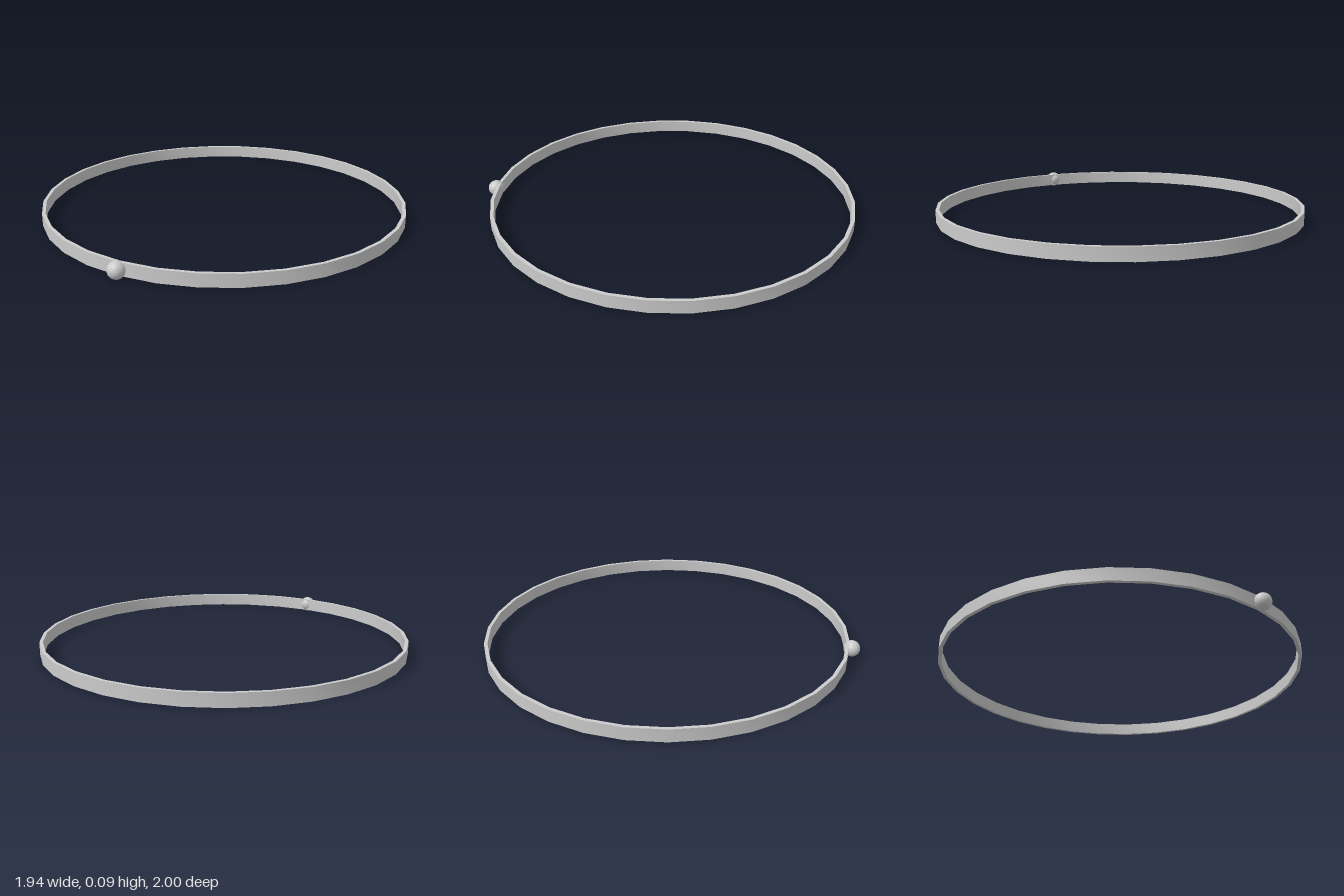
import * as THREE from 'three';
import { toCreasedNormals } from 'three/addons/utils/BufferGeometryUtils.js';

export function createModel() {
  const model = new THREE.Group();
  model.name = 'beadedHoop';
  const material = new THREE.MeshStandardMaterial({ color: 0xcccccc });

  // Flat upright band: a closed rectangular section turned around y
  const outer = 0.972, inner = 0.954, bottom = 0.01, top = 0.077;
  const section = [
    [outer, bottom], [outer, top], [inner, top], [inner, bottom], [outer, bottom],
  ].map(([r, y]) => new THREE.Vector2(r, y));
  const band = new THREE.Mesh(
    toCreasedNormals(new THREE.LatheGeometry(section, 32), 0.6), material);
  band.name = 'band';
  band.position.z = -0.028;
  model.add(band);

  // Round bead set into the front of the band
  const radius = 0.043;
  const bead = new THREE.Mesh(new THREE.SphereGeometry(radius, 32, 16), material);
  bead.name = 'bead';
  bead.position.set(0, radius, 1 - radius);
  model.add(bead);

  return model;
}
